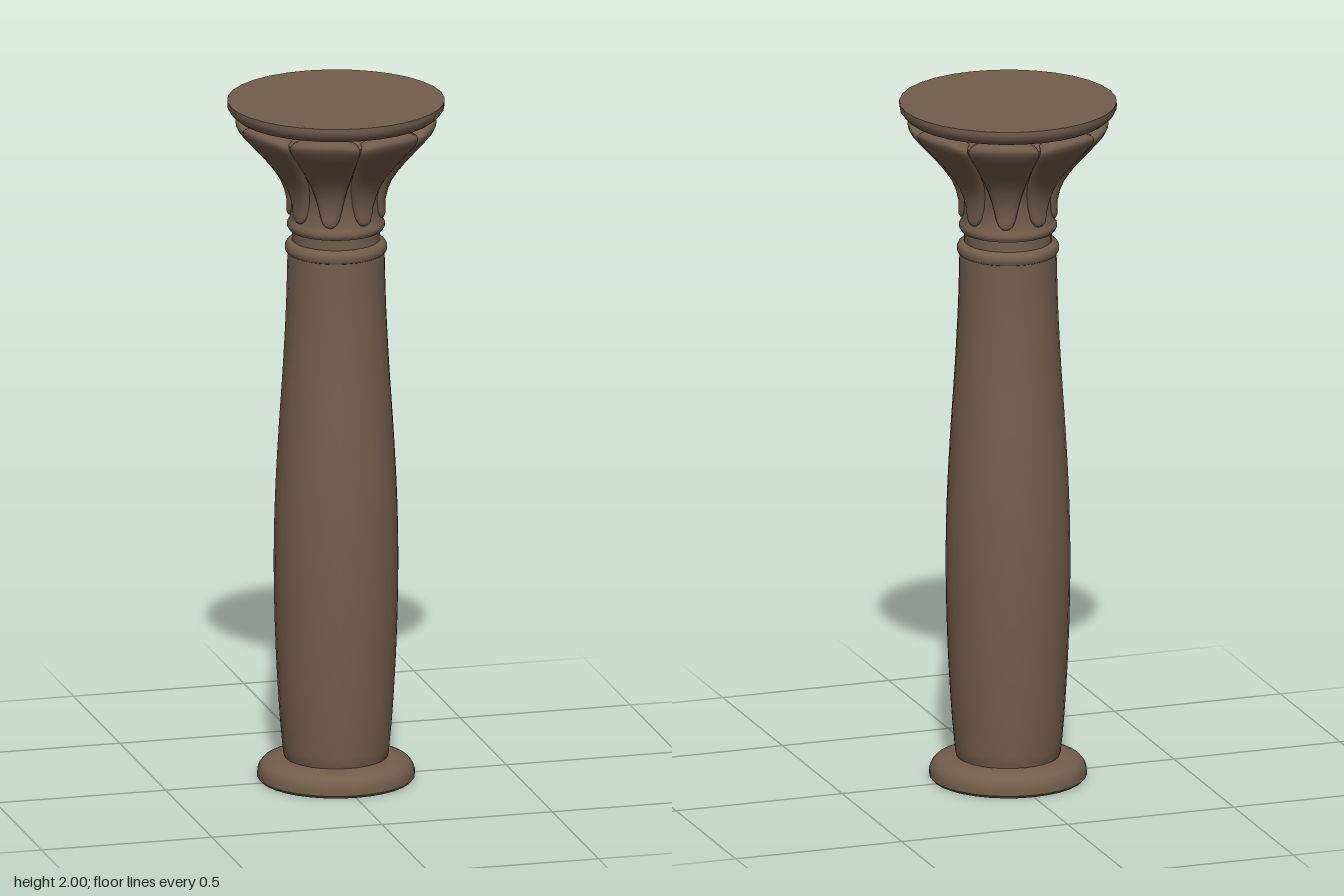
import * as THREE from 'three';
import { toCreasedNormals } from 'three/addons/utils/BufferGeometryUtils.js';

const SEGMENTS = 32;
const PETALS = 8;

export function createModel() {
  const group = new THREE.Group();
  const stone = new THREE.MeshStandardMaterial({ color: 0x735d4b });
  stone.name = 'brown stone';

  const add = (name, geometry) => {
    const mesh = new THREE.Mesh(geometry, stone);
    mesh.name = name;
    group.add(mesh);
    return mesh;
  };
  // turned part from [radius, height] pairs, listed bottom to top
  const turned = (name, profile) => add(name, toCreasedNormals(
    new THREE.LatheGeometry(profile.map(([r, y]) => new THREE.Vector2(r, y)), SEGMENTS), 0.6));

  turned('base', [[0, 0], [0.217, 0], [0.224, 0.008], [0.224, 0.024], [0.219, 0.04],
    [0.208, 0.053], [0.19, 0.061], [0.162, 0.067], [0, 0.067]]);

  // swelling shaft, sampled from a smooth curve
  const swell = new THREE.SplineCurve([[0.15, 0.078], [0.161, 0.2], [0.172, 0.4], [0.177, 0.62],
    [0.174, 0.82], [0.164, 1.02], [0.151, 1.22], [0.142, 1.4], [0.138, 1.555]]
    .map(([r, y]) => new THREE.Vector2(r, y)));
  turned('shaft', [[0.143, 0.06], [0.148, 0.07], ...swell.getPoints(32).map((p) => [p.x, p.y])]);

  turned('shaftRing', [[0.135, 1.551], [0.141, 1.554], [0.145, 1.562], [0.145, 1.574],
    [0.141, 1.582], [0.134, 1.588], [0.12, 1.59]]);
  turned('neck', [[0.125, 1.58], [0.125, 1.63]]);
  turned('capitalCore', [[0.12, 1.619], [0.133, 1.621], [0.139, 1.63], [0.139, 1.64],
    [0.134, 1.648], [0.131, 1.655], [0.127, 1.68], [0.128, 1.72], [0.138, 1.76], [0.158, 1.8],
    [0.19, 1.85], [0.225, 1.89], [0.245, 1.92], [0.24, 1.94], [0.225, 1.96]]);
  turned('topSlab', [[0.22, 1.948], [0.262, 1.95], [0.285, 1.956], [0.298, 1.966],
    [0.307, 1.978], [0.309, 1.988], [0.309, 2], [0, 2]]);

  // petal rows: height, outer radius, half width in degrees, top corner drop
  const rows = [
    [1.655, 0.13, 1, 0], [1.659, 0.136, 6, 0], [1.668, 0.14, 10, 0], [1.685, 0.14, 13.5, 0],
    [1.71, 0.141, 16, 0], [1.74, 0.148, 18.5, 0], [1.77, 0.16, 20.5, 0], [1.8, 0.18, 21.8, 0],
    [1.83, 0.204, 22.4, 0], [1.86, 0.231, 22.5, 0.001], [1.89, 0.258, 22.5, 0.004],
    [1.912, 0.276, 22.5, 0.008], [1.928, 0.284, 22.3, 0.012], [1.938, 0.285, 22, 0.014],
    [1.946, 0.279, 21.5, 0.015], [1.949, 0.265, 21, 0.014], [1.949, 0.22, 20, 0.012],
  ];
  const across = 16;
  const position = [], index = [];
  rows.forEach(([y, r, half, drop], j) => {
    for (let i = 0; i <= across; i++) {
      const u = Math.sin((i / across - 0.5) * Math.PI); // denser towards the rolled edges
      const a = u * THREE.MathUtils.degToRad(half);
      const edge = Math.abs(u) ** 8;
      const radius = r - 0.02 * edge;
      position.push(Math.sin(a) * radius, y - drop * u ** 4, Math.cos(a) * radius);
      if (i < across && j < rows.length - 1) {
        const k = j * (across + 1) + i, n = k + across + 1;
        index.push(k, k + 1, n, k + 1, n + 1, n);
      }
    }
  });
  const petal = new THREE.BufferGeometry();
  petal.setAttribute('position', new THREE.Float32BufferAttribute(position, 3));
  petal.setIndex(index);
  petal.computeVertexNormals();
  for (let i = 0; i < PETALS; i++) {
    add('petal' + (i + 1), petal).rotation.y = (i + 0.5) * Math.PI * 2 / PETALS;
  }
  return group;
}
